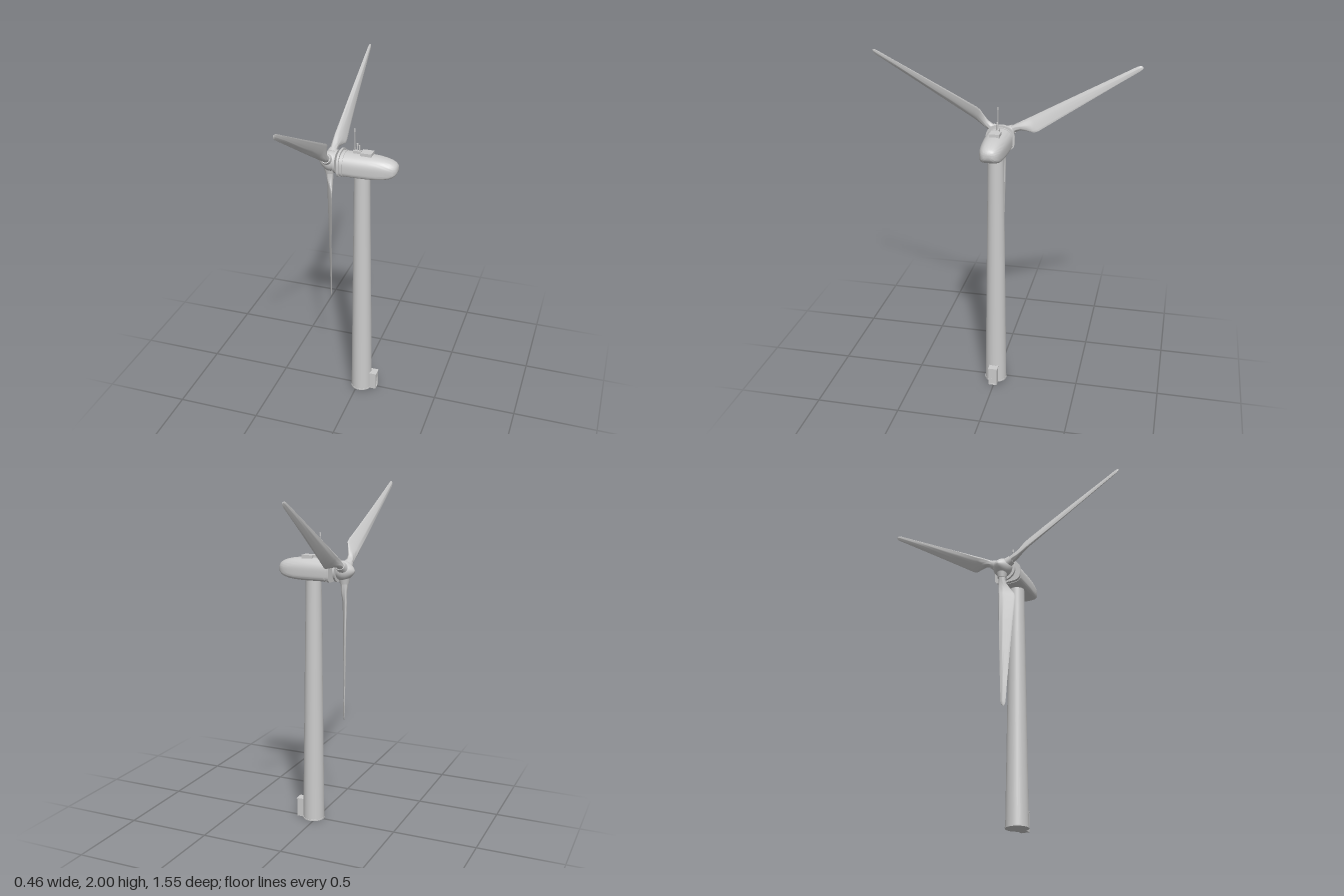
import * as THREE from 'three';
import { toCreasedNormals } from 'three/addons/utils/BufferGeometryUtils.js';

const grey = new THREE.MeshStandardMaterial({ color: 0xcccccc });
const CZ = 0.005; // centre line of tower and rotor in z
const AXIS_Y = 1.54; // height of the rotor axis

function part(name, geometry, parent, x = 0, y = 0, z = 0) {
  const mesh = new THREE.Mesh(geometry, grey);
  mesh.name = name;
  mesh.position.set(x, y, z);
  parent.add(mesh);
  return mesh;
}

// Skin a list of closed rings (counter-clockwise about the loft direction), capped at both ends
function loft(rings, crease = 0.7) {
  const n = rings[0].length, pos = [], idx = [];
  rings.forEach(r => r.forEach(p => pos.push(p.x, p.y, p.z)));
  for (let i = 0; i < rings.length - 1; i++) {
    for (let j = 0; j < n; j++) {
      const a = i * n + j, b = i * n + (j + 1) % n;
      idx.push(a, b, b + n, a, b + n, a + n);
    }
  }
  [0, rings.length - 1].forEach(i => {
    const c = new THREE.Vector3();
    rings[i].forEach(p => c.addScaledVector(p, 1 / n));
    const k = pos.length / 3;
    pos.push(c.x, c.y, c.z);
    for (let j = 0; j < n; j++) {
      const a = i * n + j, b = i * n + (j + 1) % n;
      if (i === 0) idx.push(k, b, a); else idx.push(k, a, b);
    }
  });
  const g = new THREE.BufferGeometry();
  g.setAttribute('position', new THREE.Float32BufferAttribute(pos, 3));
  g.setIndex(idx);
  return toCreasedNormals(g, crease);
}

// Housing section at x: round arch above, flat floor with soft corners below
function housingRing(x, top, bottom, half) {
  const mid = bottom + (top - bottom) * 0.46, ring = [];
  for (let j = 0; j < 48; j++) {
    const a = (j / 48) * Math.PI * 2, c = Math.cos(a), s = Math.sin(a);
    const e = c >= 0 ? 0.88 : 0.45;
    const py = Math.sign(c) * Math.abs(c) ** e, pz = Math.sign(s) * Math.abs(s) ** e;
    ring.push(new THREE.Vector3(x, mid + py * (c >= 0 ? top - mid : mid - bottom), CZ + pz * half));
  }
  return ring;
}

// Blade section at radius r: round at the root (k = 0), thin-tailed further out (k = 1)
function bladeRing([r, lead, trail, xLead, xTrail, thick, k]) {
  const ring = [];
  for (let j = 0; j < 24; j++) {
    const a = (j / 24) * Math.PI * 2, c = Math.cos(a), s = Math.sin(a);
    ring.push(new THREE.Vector3(
      (xLead + xTrail) / 2 + c * (xLead - xTrail) / 2 + s * thick * (1 + 0.6 * k * c),
      r,
      -(lead + trail) / 2 + c * (trail - lead) / 2));
  }
  return ring;
}

function buildTower(root) {
  const tower = new THREE.Group();
  tower.name = 'tower';
  root.add(tower);
  part('towerShaft', new THREE.CylinderGeometry(0.046, 0.065, 1.48, 48), tower, 0.022, 0.74, CZ);
  part('baseRing', new THREE.CylinderGeometry(0.067, 0.067, 0.008, 48), tower, 0.022, 0.004, CZ);

  // Entrance box with a recessed doorway
  const entrance = new THREE.Group();
  entrance.name = 'entrance';
  entrance.position.z = CZ;
  tower.add(entrance);
  const wall = new THREE.Shape();
  wall.moveTo(-0.025, 0).lineTo(0.025, 0).lineTo(0.025, 0.112).lineTo(-0.025, 0.112).closePath();
  const opening = new THREE.Path();
  opening.moveTo(-0.014, 0.004).lineTo(-0.014, 0.07).lineTo(0.014, 0.07).lineTo(0.014, 0.004).closePath();
  wall.holes.push(opening);
  const front = new THREE.ExtrudeGeometry(wall, { depth: 0.008, bevelEnabled: false });
  front.rotateY(Math.PI / 2);
  part('doorFrame', front, entrance, 0.114, 0, 0);
  part('entranceBox', new THREE.BoxGeometry(0.054, 0.112, 0.05), entrance, 0.088, 0.056, 0);
  part('entranceRoof', new THREE.BoxGeometry(0.065, 0.006, 0.056), entrance, 0.0925, 0.114, 0);
  part('doorHandle', new THREE.BoxGeometry(0.004, 0.008, 0.003), entrance, 0.116, 0.036, 0.009);
}

function buildNacelle(root) {
  const nacelle = new THREE.Group();
  nacelle.name = 'nacelle';
  root.add(nacelle);
  const body = [
    [-0.092, 1.606, 1.477, 0.076], [0, 1.606, 1.476, 0.075], [0.07, 1.605, 1.476, 0.072],
    [0.12, 1.602, 1.478, 0.068], [0.16, 1.596, 1.483, 0.063], [0.19, 1.588, 1.491, 0.056],
    [0.21, 1.579, 1.5, 0.047], [0.222, 1.57, 1.511, 0.037], [0.229, 1.56, 1.523, 0.024],
    [0.232, 1.545, 1.541, 0.003]];
  part('housing', loft(body.map(s => housingRing(...s))), nacelle);
  const band = (x0, x1, ...s) => loft([housingRing(x0, ...s), housingRing(x1, ...s)]);
  part('frontFlange', band(-0.104, -0.092, 1.618, 1.474, 0.085), nacelle);
  part('collarBand', band(-0.08, -0.072, 1.609, 1.474, 0.079), nacelle);

  // Roof hatch and weather instruments
  part('roofHatch', new THREE.BoxGeometry(0.064, 0.022, 0.058), nacelle, 0.051, 1.609, CZ - 0.003);
  part('sensorPlate', new THREE.BoxGeometry(0.046, 0.018, 0.02), nacelle, -0.007, 1.612, CZ - 0.003);
  const post = (name, x, y0, y1, r) =>
    part(name, new THREE.CylinderGeometry(r, r, y1 - y0, 10), nacelle, x, (y0 + y1) / 2, CZ - 0.003);
  post('mast', -0.021, 1.615, 1.735, 0.002);
  post('mastTip', -0.021, 1.73, 1.747, 0.0045);
  post('mastFoot', -0.021, 1.615, 1.64, 0.004);
  post('sensorPost', -0.006, 1.615, 1.655, 0.003);
  post('sensorHead', -0.006, 1.65, 1.664, 0.005);
  post('beacon', 0.006, 1.615, 1.655, 0.004);
}

function buildRotor(root) {
  const rotor = new THREE.Group();
  rotor.name = 'rotor';
  rotor.position.set(-0.17, AXIS_Y, CZ);
  root.add(rotor);

  // Spinner, rear disc and shaft turned about the x axis
  const profile = [[0, -0.042], [0.044, -0.042], [0.053, -0.03], [0.058, -0.012], [0.057, 0.004],
    [0.05, 0.02], [0.038, 0.036], [0.024, 0.05], [0.011, 0.059], [0, 0.062]];
  const spinner = new THREE.LatheGeometry(profile.map(p => new THREE.Vector2(...p)), 40);
  part('spinner', spinner, rotor).rotation.z = Math.PI / 2;
  part('rearDisc', new THREE.CylinderGeometry(0.066, 0.066, 0.012, 40), rotor, 0.042).rotation.z = Math.PI / 2;
  part('shaft', new THREE.CylinderGeometry(0.025, 0.025, 0.06, 32), rotor, 0.055).rotation.z = Math.PI / 2;

  // Radius, leading edge, trailing edge, x of each edge, half thickness, airfoil blend
  const stations = [
    [0.03, -0.023, 0.023, 0, 0, 0.023, 0], [0.09, -0.021, 0.022, 0, 0, 0.021, 0],
    [0.115, -0.02, 0.027, -0.003, 0.006, 0.019, 0.3], [0.15, -0.018, 0.047, -0.009, 0.022, 0.015, 0.7],
    [0.18, -0.017, 0.066, -0.013, 0.033, 0.012, 1], [0.205, -0.016, 0.07, -0.013, 0.033, 0.011, 1],
    [0.35, -0.014, 0.06, -0.011, 0.024, 0.009, 1], [0.55, -0.01, 0.046, -0.009, 0.015, 0.007, 1],
    [0.75, -0.006, 0.032, -0.006, 0.008, 0.005, 1], [0.865, -0.004, 0.025, -0.004, 0.004, 0.004, 1],
    [0.882, 0, 0.022, -0.003, 0.003, 0.003, 1], [0.891, 0.008, 0.017, -0.001, 0.001, 0.001, 1]];
  const bladeGeometry = loft(stations.map(bladeRing), 0.9);
  for (let i = 0; i < 3; i++) {
    const blade = new THREE.Group();
    blade.name = 'blade' + (i + 1);
    blade.rotation.x = Math.PI / 3 + (i * Math.PI * 2) / 3;
    rotor.add(blade);
    part('bladeSurface', bladeGeometry, blade);
    part('rootCollar', new THREE.CylinderGeometry(0.026, 0.034, 0.04, 28), blade, 0, 0.054, 0);
  }
}

export function createModel() {
  const model = new THREE.Group();
  model.name = 'windTurbine';
  buildTower(model);
  buildNacelle(model);
  buildRotor(model);
  return model;
}
